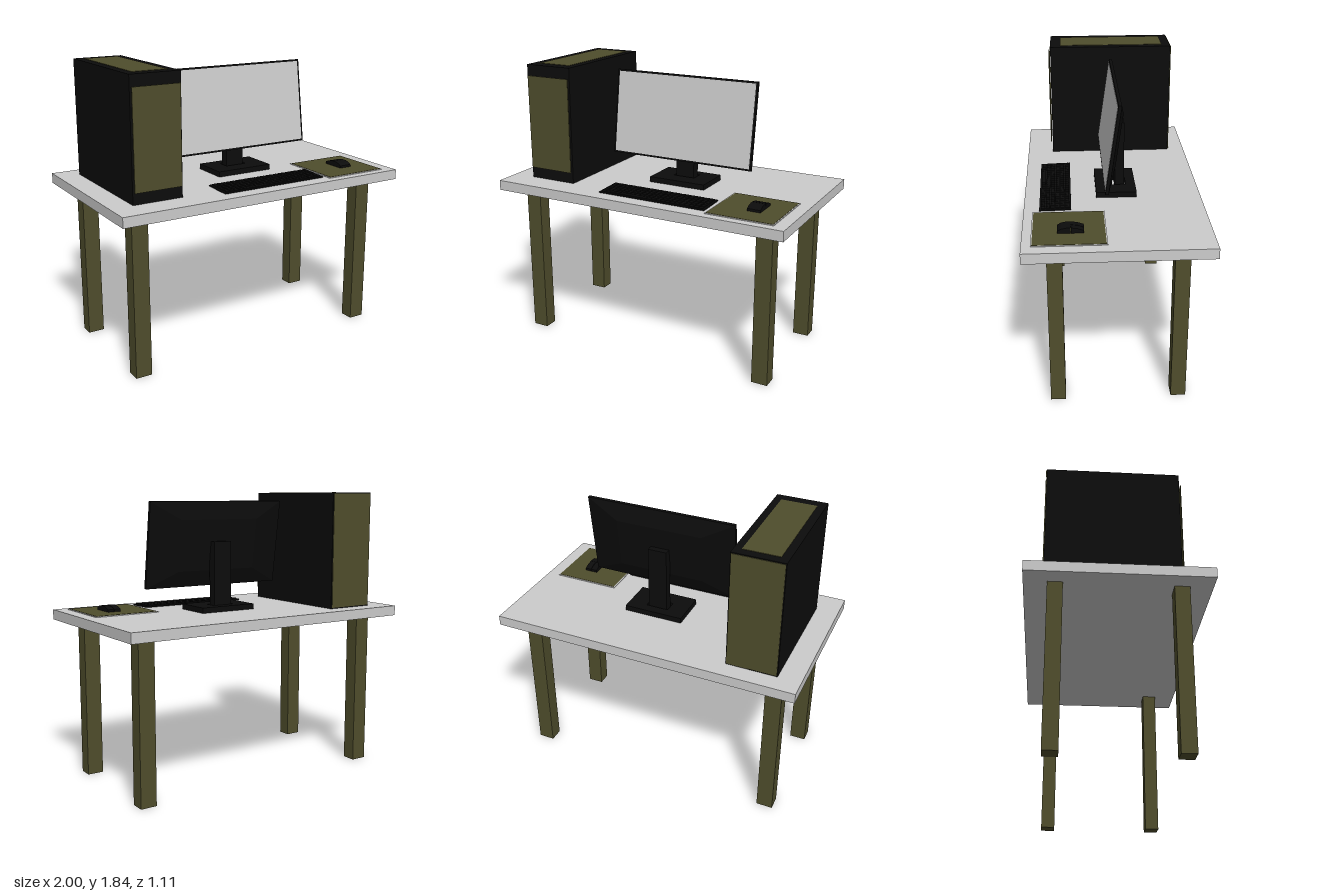
import * as THREE from 'three';

const paint = (color) => new THREE.MeshStandardMaterial({ color, flatShading: true });

export function createModel() {
  const grey = paint(0xcccccc), olive = paint(0x4f4d2c), black = paint(0x0c0c0c);
  const model = new THREE.Group();

  const add = (parent, name, geometry, material) => {
    const mesh = new THREE.Mesh(geometry, material);
    mesh.name = name;
    parent.add(mesh);
    return mesh;
  };
  // Box given by its limits on each axis
  const box = (parent, name, material, [x0, x1], [y0, y1], [z0, z1]) => {
    const mesh = add(parent, name, new THREE.BoxGeometry(x1 - x0, y1 - y0, z1 - z0), material);
    mesh.position.set((x0 + x1) / 2, (y0 + y1) / 2, (z0 + z1) / 2);
    return mesh;
  };
  const group = (name) => {
    const g = new THREE.Group();
    g.name = name;
    model.add(g);
    return g;
  };

  // Desk: slab on four square legs
  const top = 1.085;
  const desk = group('desk');
  box(desk, 'deskTop', grey, [-1, 1], [1.02, top], [-0.555, 0.555]);
  for (const sx of [-1, 1]) for (const sz of [-1, 1]) {
    const leg = add(desk, 'leg', new THREE.BoxGeometry(0.105, 1.02, 0.092), olive);
    leg.position.set(sx * 0.833, 0.51, sz * 0.37);
  }

  // Computer tower with coloured front, back and top panels
  const tower = group('computerTower');
  box(tower, 'towerCase', black, [-0.855, -0.53], [top, 1.84], [-0.44, 0.381]);
  box(tower, 'frontPanel', olive, [-0.846, -0.538], [1.157, 1.77], [0.389, 0.394]);
  box(tower, 'backPanel', olive, [-0.85, -0.535], [1.092, 1.835], [-0.446, -0.442]);
  box(tower, 'topPanel', olive, [-0.805, -0.577], [1.835, 1.843], [-0.385, 0.312]);

  // Monitor head, leaning back
  const monitor = group('monitor');
  const head = new THREE.Group();
  head.name = 'monitorHead';
  head.position.set(0.0875, 1.515, 0.025);
  head.rotation.x = -0.14;
  monitor.add(head);
  const w = 0.4975, h = 0.276;
  box(head, 'bezel', black, [-w, w], [-h, h], [-0.02, 0]);
  box(head, 'screen', grey, [-w + 0.012, w - 0.012], [-h + 0.012, h - 0.012], [-0.002, 0.002]);
  // Back shell tapers towards the rear
  const shell = new THREE.BoxGeometry(2 * w, 2 * h, 0.04);
  const p = shell.attributes.position;
  for (let i = 0; i < p.count; i++) {
    if (p.getZ(i) < 0) p.setXY(i, p.getX(i) * 0.575, p.getY(i) * 0.6);
  }
  shell.computeVertexNormals();
  add(head, 'backShell', shell, black).position.z = -0.04;

  // Stand: neck set in a slightly larger slot in the foot
  box(monitor, 'neck', black, [0.022, 0.148], [top, 1.53], [-0.079, -0.02]);
  const foot = new THREE.Shape([[-0.11, -0.105], [0.283, -0.105], [0.283, 0.15], [-0.11, 0.15]]
    .map(([x, y]) => new THREE.Vector2(x, y)));
  foot.holes.push(new THREE.Path([[0.01, 0.003], [0.01, 0.088], [0.16, 0.088], [0.16, 0.003]]
    .map(([x, y]) => new THREE.Vector2(x, y))));
  const footMesh = add(monitor, 'foot',
    new THREE.ExtrudeGeometry(foot, { depth: 0.035, bevelEnabled: false }), black);
  footMesh.rotation.x = -Math.PI / 2;
  footMesh.position.y = top;

  // Keyboard: thin tilted tray with rows of keys
  const keyboard = group('keyboard');
  keyboard.position.set(0.09, top + 0.004, 0.3625);
  keyboard.rotation.x = 0.03;
  box(keyboard, 'keyboardTray', black, [-0.37, 0.37], [-0.003, 0.005], [-0.0975, 0.0975]);
  const key = (x0, x1, z0) =>
    box(keyboard, 'key', black, [x0 + 0.003, x1 - 0.003], [0.005, 0.011], [z0 + 0.003, z0 + 0.027]);
  const columns = 22, pitch = 0.72 / columns;
  for (let row = 0; row < 6; row++) {
    const z = -0.09 + row * 0.03;
    for (let c = 0; c < columns; c++) {
      // The last row has a space bar in place of six keys
      const span = row === 5 && c === 4 ? 6 : 1;
      key(-0.36 + c * pitch, -0.36 + (c + span) * pitch, z);
      c += span - 1;
    }
  }

  // Mouse mat with a pale rim
  const mat = group('mouseMat');
  box(mat, 'matRim', grey, [0.483, 0.92], [top, top + 0.004], [0.064, 0.501]);
  box(mat, 'matSurface', olive, [0.49, 0.913], [top, top + 0.006], [0.071, 0.494]);

  // Mouse: humped palm rest and two separate buttons, side profiles extruded across
  const mouse = group('mouse');
  mouse.position.set(0.733, top + 0.006, 0.272);
  const slice = (name, profile, x0, x1) => {
    const shape = new THREE.Shape(profile.map(([z, y]) => new THREE.Vector2(-z, y)));
    const geometry = new THREE.ExtrudeGeometry(shape, { depth: x1 - x0, bevelEnabled: false });
    const mesh = add(mouse, name, geometry, black);
    mesh.rotation.y = Math.PI / 2;
    mesh.position.x = x0;
  };
  slice('palmRest', [[0.001, 0], [0.078, 0], [0.078, 0.015], [0.055, 0.028], [0.025, 0.034], [0.001, 0.034]],
    -0.043, 0.043);
  const button = [[-0.077, 0], [-0.001, 0], [-0.001, 0.034], [-0.04, 0.029], [-0.077, 0.016]];
  slice('rightButton', button, -0.043, -0.002);
  slice('leftButton', button, 0.002, 0.043);

  return model;
}
